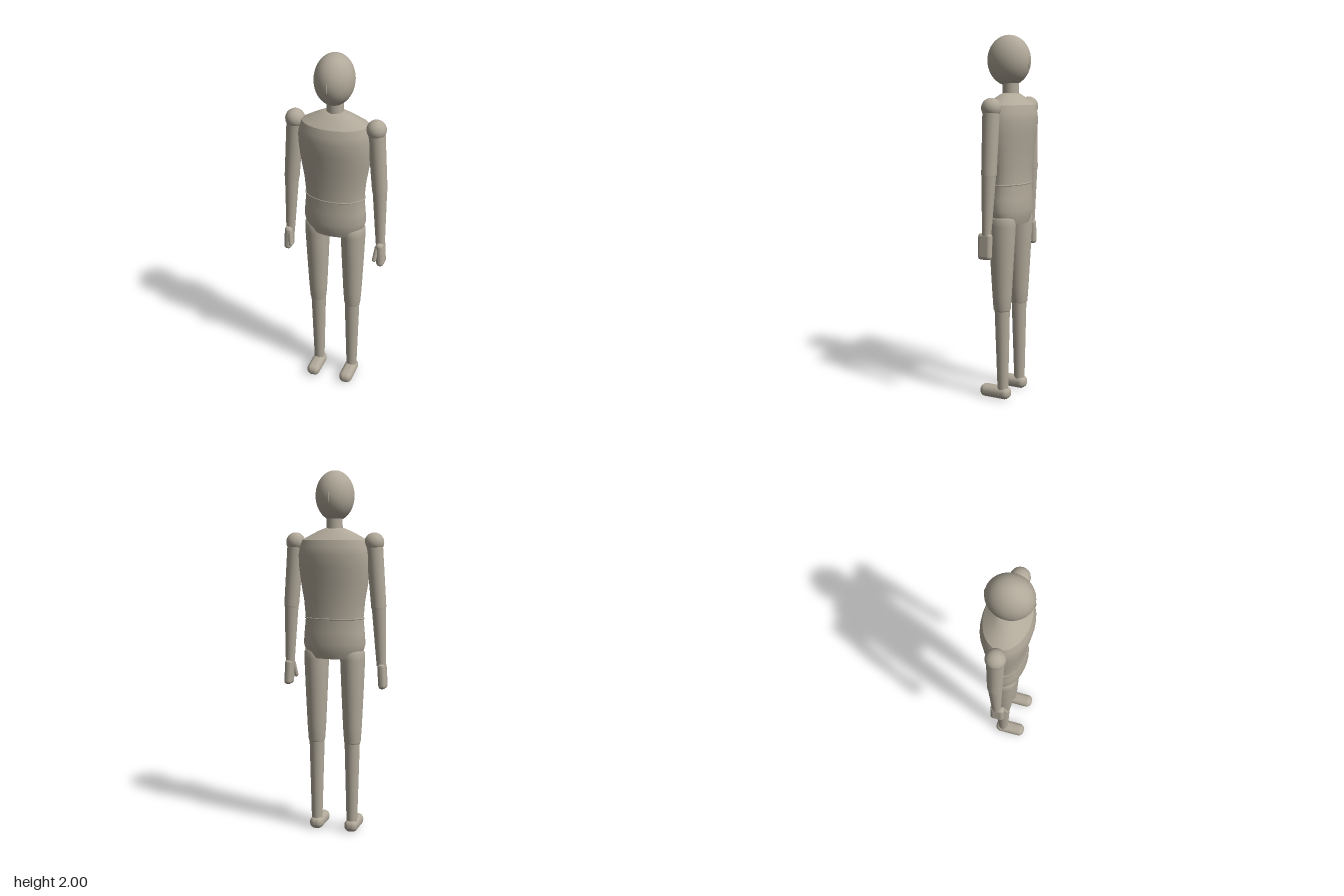
import * as THREE from 'three';
import { mergeVertices } from 'three/addons/utils/BufferGeometryUtils.js';
import { RoundedBoxGeometry } from 'three/addons/geometries/RoundedBoxGeometry.js';

const clay = new THREE.MeshStandardMaterial({ color: 0xb0a899 });
clay.name = 'warm grey clay';

function add(parent, name, geometry, x = 0, y = 0, z = 0) {
  const mesh = new THREE.Mesh(geometry, clay);
  mesh.name = name;
  mesh.position.set(x, y, z);
  parent.add(mesh);
  return mesh;
}

// Smooth body of stacked ellipses: rows of [y, half width, half depth], bottom to top
function ellipseStack(rows, segments = 28) {
  const pts = rows.map(([y, rx]) => new THREE.Vector2(rx, y));
  let geo = new THREE.LatheGeometry(pts, segments);
  const pos = geo.attributes.position;
  for (let i = 0; i < pos.count; i++) {
    const [, rx, rz] = rows[i % rows.length];
    pos.setZ(i, rx > 0 ? pos.getZ(i) * rz / rx : 0);
  }
  geo.deleteAttribute('uv');
  geo.deleteAttribute('normal');
  geo = mergeVertices(geo, 1e-5);
  geo.computeVertexNormals();
  return geo;
}

// Tapered limb between two points
function limb(parent, name, a, ra, b, rb) {
  const from = new THREE.Vector3(...a), to = new THREE.Vector3(...b);
  const dir = from.clone().sub(to);
  const mesh = add(parent, name, new THREE.CylinderGeometry(ra, rb, dir.length(), 20));
  mesh.position.copy(from).add(to).multiplyScalar(0.5);
  mesh.quaternion.setFromUnitVectors(new THREE.Vector3(0, 1, 0), dir.normalize());
  return mesh;
}

function ball(parent, name, r, x, y, z) {
  return add(parent, name, new THREE.SphereGeometry(r, 20, 14), x, y, z);
}

export function createModel() {
  const model = new THREE.Group();
  model.name = 'mannequin';

  // Head with a fine ridge at the front and the back
  const head = new THREE.Group();
  head.name = 'head';
  model.add(head);
  add(head, 'skull', new THREE.SphereGeometry(1, 32, 24), 0, 1.865, 0.01).scale.set(0.104, 0.135, 0.121);
  for (const [name, z] of [['noseRidge', 0.128], ['backRidge', -0.108]]) {
    add(head, name, new THREE.SphereGeometry(1, 8, 8), 0, 1.855, z).scale.set(0.004, 0.03, 0.007);
  }
  add(model, 'neck', new THREE.CylinderGeometry(0.043, 0.045, 0.1, 24), 0, 1.72, 0);

  // Torso, sloping shoulder yoke and flat pelvis underside
  add(model, 'torso', ellipseStack([
    [0.988, 0.145, 0.09], [1.02, 0.162, 0.1], [1.065, 0.175, 0.108], [1.13, 0.17, 0.105],
    [1.205, 0.163, 0.101], [1.3, 0.172, 0.105], [1.4, 0.189, 0.115], [1.48, 0.199, 0.127],
    [1.55, 0.202, 0.134], [1.59, 0.195, 0.129], [1.63, 0.181, 0.119],
  ]));
  add(model, 'shoulderYoke', ellipseStack([
    [1.63, 0.181, 0.119], [1.655, 0.135, 0.09], [1.678, 0.09, 0.06], [1.692, 0.055, 0.042], [1.694, 0, 0],
  ]));
  add(model, 'pelvisBase', ellipseStack([[0.988, 0, 0], [0.988, 0.145, 0.09]]));

  // Waist ring
  const ring = add(model, 'waistRing', new THREE.TorusGeometry(0.166, 0.004, 8, 40), 0, 1.206, 0);
  ring.rotation.x = Math.PI / 2;
  ring.scale.y = 0.615;

  for (const s of [1, -1]) {
    const side = s > 0 ? 'left' : 'right';

    // Arm
    const arm = new THREE.Group();
    arm.name = side + 'Arm';
    model.add(arm);
    ball(arm, 'shoulder', 0.053, s * 0.223, 1.617, 0);
    limb(arm, 'upperArm', [s * 0.223, 1.61, 0], 0.046, [s * 0.25, 1.27, 0], 0.041);
    ball(arm, 'elbow', 0.039, s * 0.25, 1.27, 0);
    limb(arm, 'forearm', [s * 0.25, 1.28, 0], 0.039, [s * 0.264, 0.95, 0.008], 0.025);
    const hand = add(arm, 'hand', new RoundedBoxGeometry(0.042, 0.142, 0.078, 4, 0.019), s * 0.27, 0.893, 0.014);
    hand.rotation.z = s * 0.06;
    const thumb = add(arm, 'thumb', new THREE.CapsuleGeometry(0.012, 0.075, 5, 12), s * 0.25, 0.905, 0.047);
    thumb.rotation.set(-0.25, 0, -s * 0.12);

    // Leg
    const leg = new THREE.Group();
    leg.name = side + 'Leg';
    model.add(leg);
    add(leg, 'thigh', ellipseStack([
      [0.5, 0, 0], [0.505, 0.04, 0.04], [0.515, 0.046, 0.048], [0.6, 0.052, 0.054],
      [0.8, 0.061, 0.066], [0.98, 0.068, 0.077], [1.02, 0.066, 0.075], [1.035, 0.056, 0.062], [1.04, 0, 0],
    ], 24), s * 0.104, 0, 0);
    limb(leg, 'shin', [s * 0.103, 0.53, 0], 0.043, [s * 0.103, 0.05, -0.003], 0.03);
    add(leg, 'foot', new RoundedBoxGeometry(0.076, 0.068, 0.18, 5, 0.031), s * 0.102, 0.034, 0.043);
  }
  return model;
}
